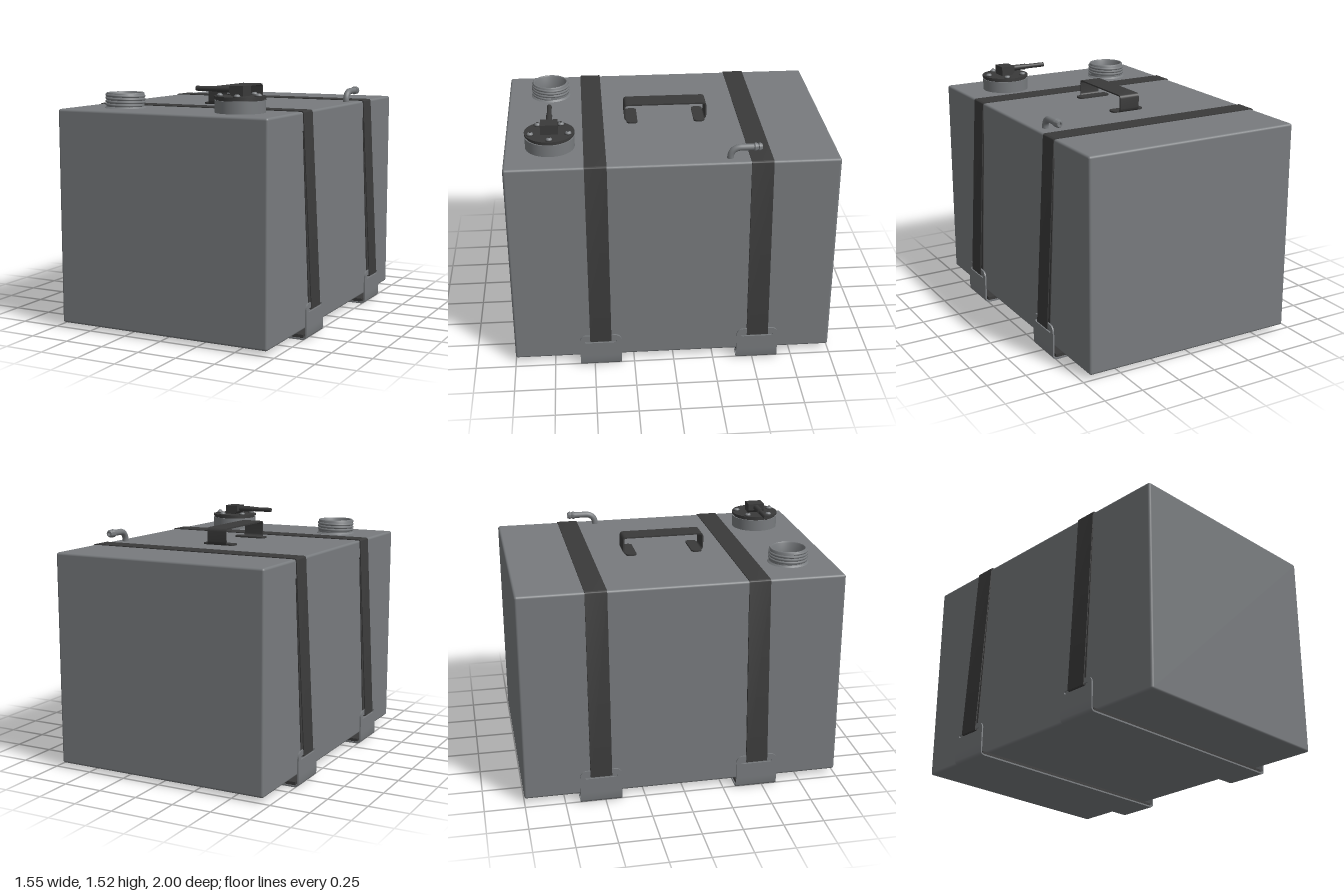
import * as THREE from 'three';
import { toCreasedNormals } from 'three/addons/utils/BufferGeometryUtils.js';
import { RoundedBoxGeometry } from 'three/addons/geometries/RoundedBoxGeometry.js';

const mat = (name, color) => {
  const m = new THREE.MeshStandardMaterial({ color });
  m.name = name;
  return m;
};

export function createModel() {
  const grey = mat('grey tank', 0x787b7e);
  const dark = mat('charcoal', 0x3a3a3a);
  const root = new THREE.Group();
  const TOP = 1.362;

  const add = (parent, name, geo, material, x = 0, y = 0, z = 0) => {
    const m = new THREE.Mesh(geo, material);
    m.name = name;
    m.position.set(x, y, z);
    parent.add(m);
    return m;
  };
  const group = (name, x = 0, y = 0, z = 0) => {
    const g = new THREE.Group();
    g.name = name;
    g.position.set(x, y, z);
    root.add(g);
    return g;
  };
  // Extrude a shape along z, centred on z = 0
  const extrude = (shape, depth) => {
    const g = new THREE.ExtrudeGeometry(shape, { depth, bevelEnabled: false, curveSegments: 8 });
    g.translate(0, 0, -depth / 2);
    return toCreasedNormals(g, 0.6);
  };
  // Flat bar bent along a polyline with rounded corners
  const band = (pts, r, t, width) => {
    const v = pts.map(p => new THREE.Vector2(...p));
    const path = [v[0]];
    for (let i = 1; i < v.length - 1; i++) {
      const a = v[i].clone().add(v[i - 1].clone().sub(v[i]).setLength(r));
      const b = v[i].clone().add(v[i + 1].clone().sub(v[i]).setLength(r));
      path.push(...new THREE.QuadraticBezierCurve(a, v[i], b).getPoints(6));
    }
    path.push(v[v.length - 1]);
    const side = s => path.map((p, i) => {
      const d = path[Math.min(i + 1, path.length - 1)].clone().sub(path[Math.max(i - 1, 0)]).normalize();
      return new THREE.Vector2(p.x - d.y * s, p.y + d.x * s);
    });
    return extrude(new THREE.Shape([...side(t / 2), ...side(-t / 2).reverse()]), width);
  };
  const roundRect = (path, x, y, w, h, r) => {
    path.moveTo(x + r, y);
    path.lineTo(x + w - r, y);
    path.absarc(x + w - r, y + r, r, -Math.PI / 2, 0);
    path.lineTo(x + w, y + h - r);
    path.absarc(x + w - r, y + h - r, r, 0, Math.PI / 2);
    path.lineTo(x + r, y + h);
    path.absarc(x + r, y + h - r, r, Math.PI / 2, Math.PI);
    path.lineTo(x, y + r);
    path.absarc(x + r, y + r, r, Math.PI, Math.PI * 1.5);
    return path;
  };

  // Tank body
  add(root, 'tank', new RoundedBoxGeometry(1.41, TOP - 0.03, 2, 3, 0.015), grey, 0, (TOP + 0.03) / 2, 0);

  // Hold-down straps, each with a bracket channel and rubber pad
  const channel = band([[-0.765, 0.07], [-0.765, 0.005], [0.765, 0.005], [0.765, 0.07]], 0.025, 0.01, 0.26);
  const tabShape = new THREE.Shape();
  tabShape.moveTo(-0.13, 0.07);
  tabShape.lineTo(0.13, 0.07);
  tabShape.lineTo(0.13, 0.18);
  tabShape.absarc(0.09, 0.18, 0.04, 0, Math.PI / 2);
  tabShape.lineTo(-0.09, 0.22);
  tabShape.absarc(-0.09, 0.18, 0.04, Math.PI / 2, Math.PI);
  tabShape.holes.push(roundRect(new THREE.Path(), -0.1, 0.166, 0.2, 0.022, 0.0105));
  const tab = extrude(tabShape, 0.01).rotateY(Math.PI / 2);
  const strap = band([[-0.773, 0.18], [-0.709, TOP + 0.002], [0.709, TOP + 0.002], [0.773, 0.18]], 0.012, 0.006, 0.133);
  for (const [label, z] of [['front', 0.46], ['rear', -0.527]]) {
    const g = group(label + 'Strap', 0, 0, z);
    add(g, 'bracketChannel', channel, grey);
    add(g, 'rubberPad', new THREE.BoxGeometry(1.49, 0.02, 0.245), dark, 0, 0.02, 0);
    add(g, 'strap', strap, dark);
    for (const s of [-1, 1]) {
      add(g, 'bracketTab', tab, grey, s * 0.765);
      // returning layer threaded through the slot
      add(g, 'strapReturn', band([[s * 0.773, 0.18], [s * 0.755, 0.18], [s * 0.709, 1.25]], 0.008, 0.005, 0.132), dark);
    }
  }

  // Carrying handle with wide rounded feet
  const handle = group('handle', 0, TOP);
  add(handle, 'grip', band([[-0.18, 0.005], [-0.256, 0.005], [-0.256, 0.107], [0.256, 0.107], [0.256, 0.005], [0.18, 0.005]],
    0.02, 0.009, 0.134).rotateY(Math.PI / 2), dark);
  const foot = extrude(roundRect(new THREE.Shape(), -0.11, -0.034, 0.22, 0.068, 0.025), 0.01).rotateX(-Math.PI / 2);
  for (const s of [-1, 1]) add(handle, 'handleFoot', foot, dark, 0, 0.006, s * 0.212);

  // Threaded filler neck
  const neck = group('fillerNeck', -0.395, TOP, 0.725);
  const profile = [[0.128, 0], [0.117, 0.01], [0.117, 0.088], [0.113, 0.094], [0.106, 0.094], [0.102, 0.088], [0.102, 0]];
  add(neck, 'neckTube', toCreasedNormals(new THREE.LatheGeometry(profile.map(p => new THREE.Vector2(...p)), 48), 0.6), grey);
  class Helix extends THREE.Curve {
    getPoint(t, target = new THREE.Vector3()) {
      const a = t * Math.PI * 7;
      return target.set(Math.cos(a) * 0.115, 0.016 + t * 0.066, Math.sin(a) * 0.115);
    }
  }
  add(neck, 'screwThread', new THREE.TubeGeometry(new Helix(), 140, 0.0085, 8), grey);

  // Level sender: collar, bolted flange, connector and cable
  const sender = group('levelSender', 0.395, TOP, 0.725);
  const disc = (name, r, y0, y1, m) =>
    add(sender, name, new THREE.CylinderGeometry(r, r, y1 - y0, 48), m, 0, (y0 + y1) / 2, 0);
  disc('collar', 0.15, 0, 0.073, grey);
  disc('gasket', 0.143, 0.073, 0.084, dark);
  disc('flange', 0.152, 0.084, 0.097, dark);
  for (let i = 0; i < 5; i++) {
    const a = i * Math.PI * 0.4, x = Math.cos(a) * 0.12, z = Math.sin(a) * 0.12;
    add(sender, 'screwWasher', new THREE.CylinderGeometry(0.024, 0.024, 0.005, 20), dark, x, 0.098, z);
    const head = add(sender, 'screwHead', new THREE.SphereGeometry(0.019, 16, 6, 0, Math.PI * 2, 0, Math.PI / 2), grey, x, 0.1, z);
    head.scale.y = 0.8;
    add(sender, 'screwSocket', new THREE.CylinderGeometry(0.008, 0.008, 0.002, 6), dark, x, 0.115, z);
  }
  const block = new THREE.Shape([[-0.025, 0.095], [0.045, 0.095], [0.045, 0.157], [-0.045, 0.157], [-0.045, 0.115]]
    .map(p => new THREE.Vector2(...p)));
  add(sender, 'connector', extrude(block, 0.106), dark);
  add(sender, 'cable', new THREE.CylinderGeometry(0.015, 0.015, 0.15, 20).rotateZ(Math.PI / 2), dark, -0.215, 0.133, 0);
  add(sender, 'cableSleeve', new THREE.CylinderGeometry(0.019, 0.019, 0.11, 20).rotateZ(Math.PI / 2), dark, -0.095, 0.133, 0);

  // Bent vent pipe with a barbed tip
  const vent = group('ventPipe', 0.635, TOP, 0);
  const bend = new THREE.CurvePath();
  const P = (y, z) => new THREE.Vector3(0, y, z);
  bend.add(new THREE.LineCurve3(P(-0.01, -0.342), P(0.005, -0.342)));
  bend.add(new THREE.CubicBezierCurve3(P(0.005, -0.342), P(0.043, -0.342), P(0.066, -0.368), P(0.066, -0.405)));
  bend.add(new THREE.LineCurve3(P(0.066, -0.405), P(0.066, -0.49)));
  add(vent, 'pipe', new THREE.TubeGeometry(bend, 40, 0.02, 16), grey);
  const barb = [[0, 0], [0.018, 0], [0.026, 0.004], [0.026, 0.012], [0.019, 0.026], [0.025, 0.03], [0.025, 0.036], [0.018, 0.05], [0.011, 0.05], [0.011, 0.03], [0, 0.03]];
  add(vent, 'barbedTip', toCreasedNormals(new THREE.LatheGeometry(barb.map(p => new THREE.Vector2(...p)), 20).rotateX(-Math.PI / 2), 0.6),
    grey, 0, 0.066, -0.48);

  return root;
}
